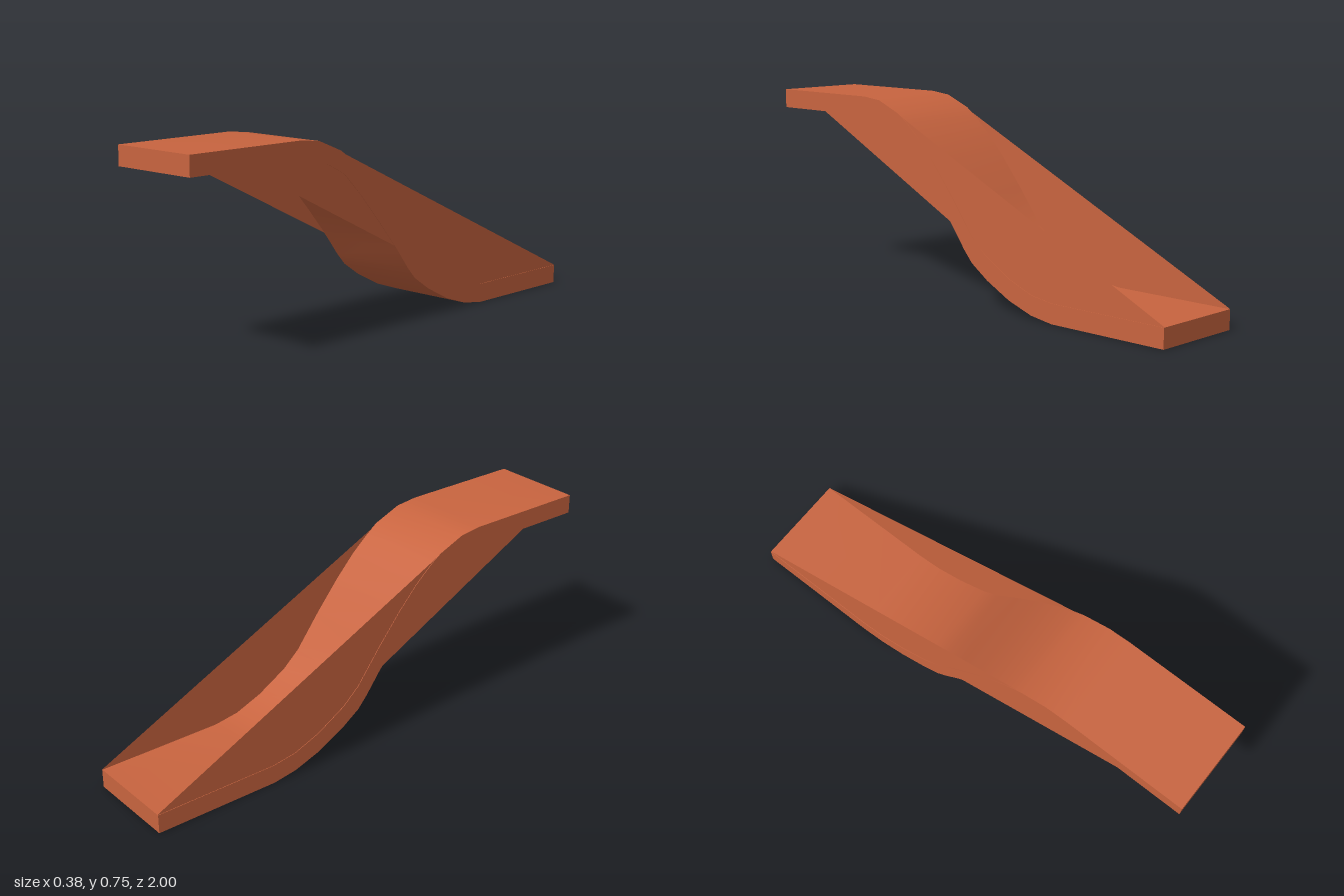
import * as THREE from 'three';
import { toCreasedNormals } from 'three/addons/utils/BufferGeometryUtils.js';

const WIDTH = 0.375;

// Profiles are [z, y] points.
const toShape = (points) => new THREE.Shape(points.map(([z, y]) => new THREE.Vector2(z, y)));

export function createModel() {
  const group = new THREE.Group();
  group.name = 'slideRamp';
  const material = new THREE.MeshStandardMaterial({ color: 0xc8643f, side: THREE.DoubleSide });

  // S-curved slab with level ends
  const top = [
    [1, 0.75], [0.5, 0.75], [0.41, 0.74], [0.3, 0.695], [0.25, 0.66], [0.18, 0.6], [0.1, 0.515],
    [0, 0.395], [-0.1, 0.265], [-0.17, 0.203], [-0.29, 0.133], [-0.4, 0.09], [-0.5, 0.075], [-1, 0.075],
  ];
  const bottom = [
    [-1, 0], [-0.5, 0], [-0.4, 0.015], [-0.29, 0.053], [-0.18, 0.11], [-0.1, 0.165], [-0.06, 0.21],
    [0, 0.29], [0.1, 0.41], [0.2, 0.525], [0.28, 0.605], [0.35, 0.645], [0.41, 0.666], [0.5, 0.675], [1, 0.675],
  ];
  const slabGeometry = new THREE.ExtrudeGeometry(toShape([...top, ...bottom]), {
    depth: WIDTH, bevelEnabled: false,
  });
  slabGeometry.translate(0, 0, -WIDTH / 2).rotateY(-Math.PI / 2);
  const slab = new THREE.Mesh(toCreasedNormals(slabGeometry, 0.5), material);
  slab.name = 'curvedSlab';
  group.add(slab);

  // Thin side sheets spanning the hollows above and below the curve
  const sheetGeometry = new THREE.ShapeGeometry(toShape([
    [0.75, 0.677], [0.5, 0.71], [0.32, 0.7], [-1, 0.077], [-1, 0.04], [-0.5, 0.04],
    [-0.3, 0.09], [-0.1, 0.21], [0, 0.3],
  ]));
  sheetGeometry.rotateY(-Math.PI / 2);
  for (const side of [-1, 1]) {
    const sheet = new THREE.Mesh(sheetGeometry, material);
    sheet.name = side > 0 ? 'leftSideSheet' : 'rightSideSheet';
    sheet.position.x = side * (WIDTH / 2 - 0.002);
    group.add(sheet);
  }

  return group;
}
